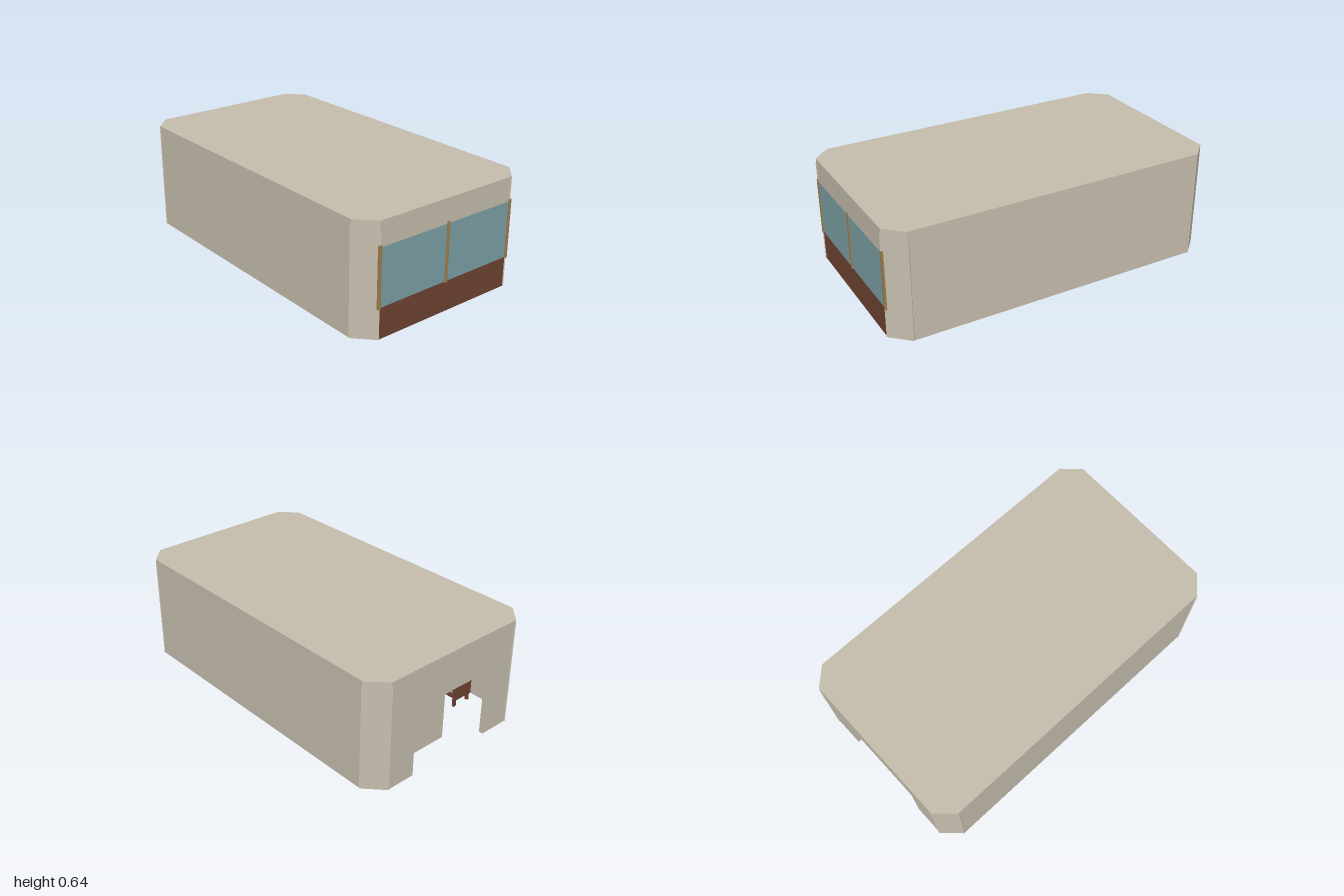
import * as THREE from 'three';

const mat = (name, color) => Object.assign(new THREE.MeshStandardMaterial({ color }), { name });

export function createModel() {
  const root = new THREE.Group();
  root.name = 'suite';
  const plaster = mat('beige plaster', 0xc6beae);
  const glass = mat('blue glass', 0x7ba1a6);
  const wood = mat('brown wood', 0x6e4431);
  const brass = mat('tan trim', 0xa08050);
  const slate = mat('slate fabric', 0x54707a);
  const blue = mat('pale blue fabric', 0x84a9ab);

  const add = (parent, name, geo, m, x = 0, y = 0, z = 0) => {
    const mesh = new THREE.Mesh(geo, m);
    mesh.name = name;
    mesh.position.set(x, y, z);
    parent.add(mesh);
    return mesh;
  };
  // Box given by its minimum and maximum corners
  const box = (parent, name, m, x0, x1, y0, y1, z0, z1) =>
    add(parent, name, new THREE.BoxGeometry(x1 - x0, y1 - y0, z1 - z0), m,
      (x0 + x1) / 2, (y0 + y1) / 2, (z0 + z1) / 2);
  const group = (name, x, z, turn = 0) => {
    const g = new THREE.Group();
    g.name = name;
    g.position.set(x, 0, z);
    g.rotation.y = turn;
    root.add(g);
    return g;
  };
  // Upright extrusion of an outline drawn in x and z
  const slab = (shape, depth) =>
    new THREE.ExtrudeGeometry(shape, { depth, bevelEnabled: false, curveSegments: 8 }).rotateX(-Math.PI / 2);

  // Room shell
  const W = 0.995, D = 0.555, cx = 0.1, cz = 0.095, H = 0.64, T = 0.025, top = 0.615;
  const ex = W - cx, ez = D - cz;
  const outline = new THREE.Shape([[-ex, -D], [ex, -D], [W, -ez], [W, ez], [ex, D], [-ex, D], [-W, ez], [-W, -ez]]
    .map(p => new THREE.Vector2(...p)));
  add(root, 'roof', slab(outline, H - top), plaster, 0, top, 0);
  box(root, 'frontWall', plaster, -ex, ex, 0, top, D - T, D);
  box(root, 'backWall', plaster, -ex, ex, 0, top, -D, -D + T);

  // Chamfered corner panels, ends standing slightly proud
  const len = Math.hypot(cx, cz);
  for (const sx of [-1, 1]) for (const sz of [-1, 1]) {
    const nx = sx * cz / len, nz = sz * cx / len;
    const p = add(root, 'cornerPanel', new THREE.BoxGeometry(len + 0.012, top, T), plaster,
      sx * (W - cx / 2) - nx * T / 2, top / 2, sz * (D - cz / 2) - nz * T / 2);
    p.rotation.y = Math.atan2(nx, nz);
  }

  // Wall with doorway
  box(root, 'doorWallBack', plaster, -W, -W + T, 0, top, -ez, -0.28);
  box(root, 'doorWallFront', plaster, -W, -W + T, 0, top, 0.27, ez);
  box(root, 'doorLintel', plaster, -W, -W + T, 0.405, top, -0.28, 0.27);

  // Window wall
  box(root, 'windowSill', wood, W - T, W, 0, 0.175, -ez, ez);
  box(root, 'windowGlass', glass, W - T, W, 0.175, 0.5, -ez, ez);
  box(root, 'windowHeader', plaster, W - T, W, 0.5, top, -ez, ez);
  for (const z of [-0.457, 0, 0.457])
    box(root, 'windowPost', brass, W - T, 1, 0.17, 0.513, z - 0.009, z + 0.009);

  // Raised surround with rounded corners
  const rounded = (Kind, s, r) => {
    const p = new Kind();
    p.absarc(s - r, s - r, r, 0, Math.PI / 2);
    p.absarc(r - s, s - r, r, Math.PI / 2, Math.PI);
    p.absarc(r - s, r - s, r, Math.PI, Math.PI * 1.5);
    p.absarc(s - r, r - s, r, Math.PI * 1.5, Math.PI * 2);
    p.closePath();
    return p;
  };
  const ring = rounded(THREE.Shape, 0.41, 0.1);
  ring.holes.push(rounded(THREE.Path, 0.36, 0.08));
  add(root, 'bedSurround', slab(ring, 0.06), plaster, 0.43, 0.075, 0);

  // Round bed on its base
  const bed = group('bed', 0.45, 0);
  box(bed, 'bedBase', slate, -0.33, 0.36, 0.035, 0.055, -0.17, 0.2);
  add(bed, 'mattress', new THREE.CylinderGeometry(0.28, 0.28, 0.075, 40), blue, 0, 0.053, 0);
  for (let i = 0; i < 4; i++) {
    const a = i * Math.PI / 2 + 0.3;
    const foot = add(bed, 'bedFoot', new THREE.BoxGeometry(0.07, 0.008, 0.07), slate,
      Math.cos(a) * 0.17, 0.012, Math.sin(a) * 0.17);
    foot.rotation.y = -a;
  }

  // Desk with a wall shelf
  box(root, 'desk', wood, -0.42, -0.2, 0, 0.24, 0.42, 0.525);
  box(root, 'wallShelf', wood, -0.12, 0, 0.2, 0.22, 0.48, 0.53);

  // Stool with splayed legs
  const stool = group('stool', -0.38, 0.33);
  add(stool, 'stoolSeat', new THREE.CylinderGeometry(0.05, 0.05, 0.02, 16), wood, 0, 0.1, 0);
  add(stool, 'stoolStem', new THREE.CylinderGeometry(0.01, 0.01, 0.08, 8), wood, 0, 0.05, 0);
  for (let i = 0; i < 4; i++) {
    const leg = add(stool, 'stoolLeg', new THREE.BoxGeometry(0.1, 0.012, 0.014), wood, 0, 0.02, 0);
    leg.geometry.translate(0, 0, 0);
    leg.rotation.y = i * Math.PI / 4;
  }

  // Armchair
  const chair = group('armchair', -0.66, 0.41);
  box(chair, 'chairSeat', wood, -0.06, 0.06, 0.05, 0.07, -0.06, 0.06);
  box(chair, 'chairCushion', blue, -0.045, 0.05, 0.07, 0.085, -0.045, 0.045);
  box(chair, 'chairBack', wood, -0.07, -0.05, 0.05, 0.16, -0.06, 0.06);
  for (const s of [-1, 1]) {
    box(chair, 'chairArm', wood, -0.06, 0.05, 0.1, 0.112, s * 0.058 - 0.007, s * 0.058 + 0.007);
    for (const x of [-0.05, 0.05])
      box(chair, 'chairLeg', wood, x - 0.008, x + 0.008, 0, 0.1, s * 0.055 - 0.008, s * 0.055 + 0.008);
  }

  // Bathroom partitions, shower tray and fittings
  box(root, 'entryPartition', plaster, -0.87, -0.85, 0, top, -0.5, 0.08);
  box(root, 'showerPartition', plaster, -0.85, -0.6, 0, top, 0.06, 0.08);
  box(root, 'showerTray', plaster, -0.85, -0.64, 0, 0.015, -0.13, 0.06);
  box(root, 'mirror', glass, -0.85, -0.843, 0.08, 0.26, -0.26, -0.14);
  box(root, 'towelShelf', wood, -0.85, -0.81, 0.1, 0.125, -0.42, -0.3);
  const hose = new THREE.CatmullRomCurve3([[-0.74, 0.1, 0.05], [-0.73, 0.24, 0.04], [-0.74, 0.34, 0.05], [-0.76, 0.36, 0.02]]
    .map(p => new THREE.Vector3(...p)));
  add(root, 'showerHose', new THREE.TubeGeometry(hose, 16, 0.006, 6), wood);
  add(root, 'basin', new THREE.CylinderGeometry(0.05, 0.025, 0.1, 20), plaster, -0.75, 0.2, -0.14);
  box(root, 'cistern', plaster, -0.85, -0.78, 0.16, 0.26, -0.28, -0.16);
  return root;
}
